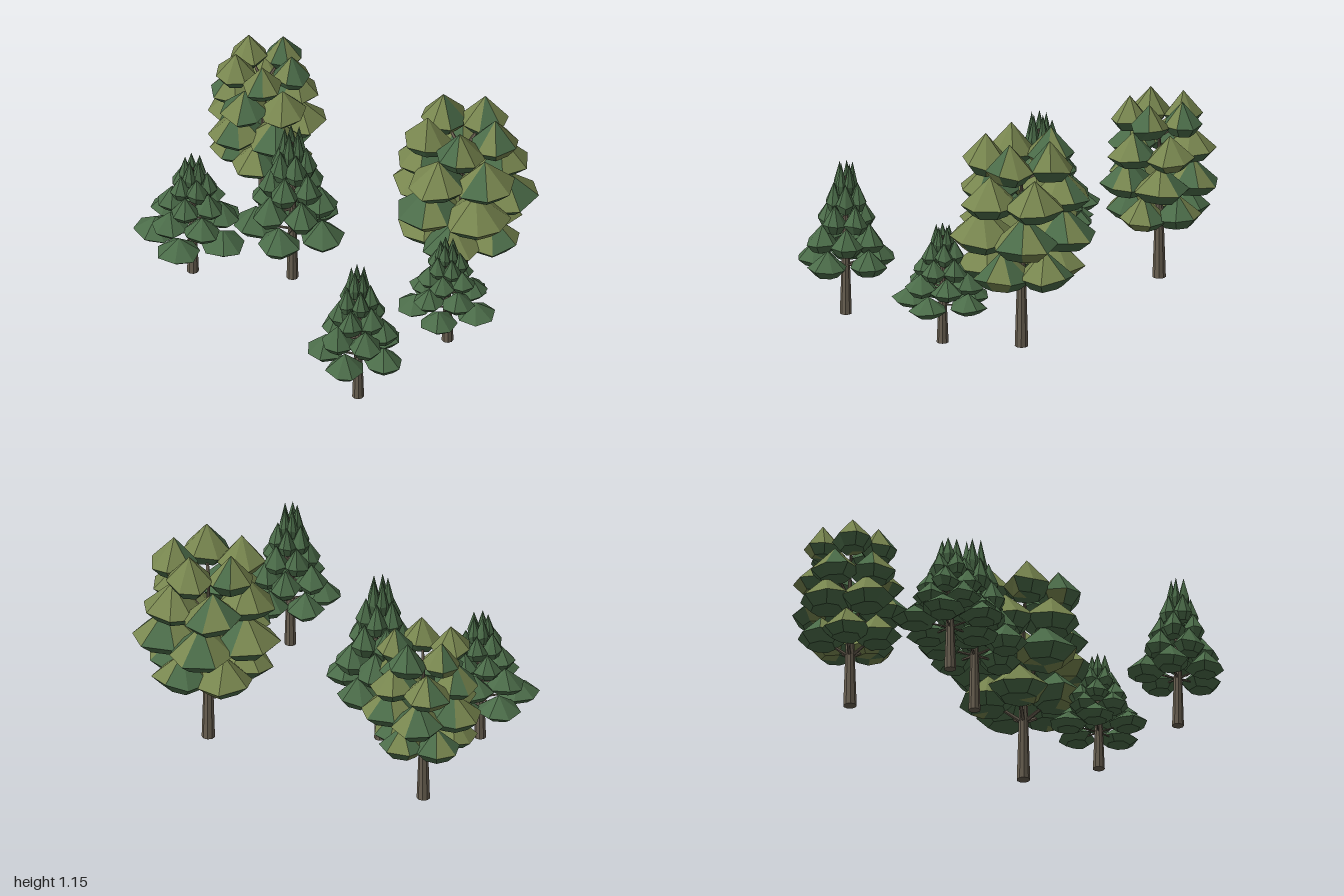
import * as THREE from 'three';
import { mergeGeometries } from 'three/addons/utils/BufferGeometryUtils.js';

const mat = (name, color) => {
  const m = new THREE.MeshStandardMaterial({ color });
  m.name = name;
  return m;
};

// seeded random numbers, 0 to 1
function seeded(seed) {
  let s = seed;
  return () => (s = (s * 16807) % 2147483647) / 2147483647;
}

// five evenly spaced directions, in degrees
const ring = (first) => [0, 1, 2, 3, 4].map((i) => first + i * 72);

// tiers: rim height, apex height above rim, clump radius, distance from trunk, clump directions
const FIR = {
  height: 0.95, trunkTop: 0.86, trunkRadius: 0.031, olive: 0, branchRadius: 0.008, branchRise: 0.15,
  tiers: [
    [0.335, 0.11, 0.108, 0.18, [0, 77, 148, 212, 280]],
    [0.46, 0.12, 0.09, 0.137, ring(36)],
    [0.585, 0.12, 0.07, 0.1, ring(5)],
    [0.705, 0.125, 0.052, 0.07, ring(40)],
    [0.81, 0.14, 0.032, 0.038, ring(8)],
  ],
};
const BROAD = {
  height: 1.15, trunkTop: 0.95, trunkRadius: 0.035, olive: 0.71, branchRadius: 0.012, branchRise: 0.6,
  tiers: [
    [0.43, 0.14, 0.152, 0.182, ring(0)],
    [0.625, 0.155, 0.172, 0.215, ring(36)],
    [0.815, 0.145, 0.152, 0.202, ring(20)],
    [1.005, 0.145, 0.122, 0.182, ring(-13)],
  ],
};

// tapered limb between two points, with flat facets
function limb(a, b, r0, r1, sides) {
  const dir = b.clone().sub(a);
  const g = new THREE.CylinderGeometry(r1, r0, dir.length(), sides).toNonIndexed();
  g.applyQuaternion(new THREE.Quaternion().setFromUnitVectors(new THREE.Vector3(0, 1, 0), dir.normalize()));
  g.translate((a.x + b.x) / 2, (a.y + b.y) / 2, (a.z + b.z) / 2);
  g.computeVertexNormals();
  return g;
}

// faceted leaf clump: pointed top, wide uneven rim, sloping underside
function addClump(c, h, r, olive, rand, out) {
  const n = 7;
  const spin = rand() * Math.PI;
  const rim = [], low = [];
  for (let i = 0; i < n; i++) {
    const a = spin + ((i + (rand() - 0.5) * 0.25) / n) * Math.PI * 2;
    const k = r * (0.95 + rand() * 0.13);
    const x = Math.cos(a) * k, z = Math.sin(a) * k;
    const sag = (rand() - 0.5) * 0.2 * h;
    rim.push([c.x + x, c.y + sag, c.z + z]);
    low.push([c.x + x * 0.6, c.y - 0.42 * h + sag * 0.4, c.z + z * 0.6]);
  }
  const apex = [c.x, c.y + h, c.z];
  const base = [c.x, c.y - 0.46 * h, c.z];
  for (let i = 0; i < n; i++) {
    const j = (i + 1) % n;
    const top = rand() < olive ? out.olive : out.green;
    const under = rand() < olive * 0.2 ? out.olive : out.green;
    top.push(...apex, ...rim[j], ...rim[i]);
    under.push(...rim[i], ...rim[j], ...low[j], ...rim[i], ...low[j], ...low[i]);
    under.push(...low[i], ...low[j], ...base);
  }
}

function facetMesh(points, material, name) {
  const g = new THREE.BufferGeometry();
  g.setAttribute('position', new THREE.Float32BufferAttribute(points, 3));
  g.computeVertexNormals();
  const m = new THREE.Mesh(g, material);
  m.name = name;
  return m;
}

function makeTree(kind, height, spread, turn, seed, mats) {
  const rand = seeded(seed);
  const tree = new THREE.Group();
  const s = height / kind.height;
  const out = { green: [], olive: [] };
  const limbs = [];

  for (const [y, h, r, d, directions] of kind.tiers) {
    for (const direction of directions) {
      const a = THREE.MathUtils.degToRad(direction + turn);
      const c = new THREE.Vector3(Math.cos(a) * d * spread, y * s, Math.sin(a) * d * spread);
      addClump(c, h * s, r * spread, kind.olive, rand, out);
      // branch rising from the trunk into the clump
      const from = new THREE.Vector3(0, (y - d * kind.branchRise) * s, 0);
      limbs.push(limb(from, c, kind.branchRadius * s, kind.branchRadius * s * 0.5, 5));
    }
  }

  const branches = new THREE.Mesh(mergeGeometries(limbs), mats.bark);
  branches.name = 'branches';
  const bottom = new THREE.Vector3(0, 0, 0);
  const top = new THREE.Vector3(0, kind.trunkTop * s, 0);
  const trunk = new THREE.Mesh(limb(bottom, top, kind.trunkRadius, 0.006, 9), mats.bark);
  trunk.name = 'trunk';
  tree.add(trunk, branches, facetMesh(out.green, mats.green, 'greenFoliage'));
  if (out.olive.length) tree.add(facetMesh(out.olive, mats.olive, 'oliveFoliage'));
  return tree;
}

export function createModel() {
  const mats = {
    bark: mat('bark brown', 0x6a6152),
    green: mat('needle green', 0x4b6c49),
    olive: mat('leaf olive', 0x78864f),
  };
  const model = new THREE.Group();
  model.name = 'grove';

  // name, kind, x, z, height, horizontal scale, turn in degrees
  const trees = [
    ['largeBroadTree', BROAD, 0.572, -0.45, 1.15, 1, 0],
    ['smallBroadTree', BROAD, -0.685, -0.48, 0.98, 0.82, 0],
    ['tallFir', FIR, -0.21, -0.055, 0.95, 1.03, 0],
    ['leftFir', FIR, -0.655, 0.195, 0.725, 1.05, 0],
    ['rightFir', FIR, 0.74, -0.08, 0.635, 0.91, -6],
    ['frontFir', FIR, 0.64, 0.57, 0.82, 0.91, 2],
  ];
  trees.forEach(([name, kind, x, z, height, spread, turn], i) => {
    const tree = makeTree(kind, height, spread, turn, 1234 + i * 777, mats);
    tree.name = name;
    tree.position.set(x, 0, z);
    model.add(tree);
  });
  return model;
}
